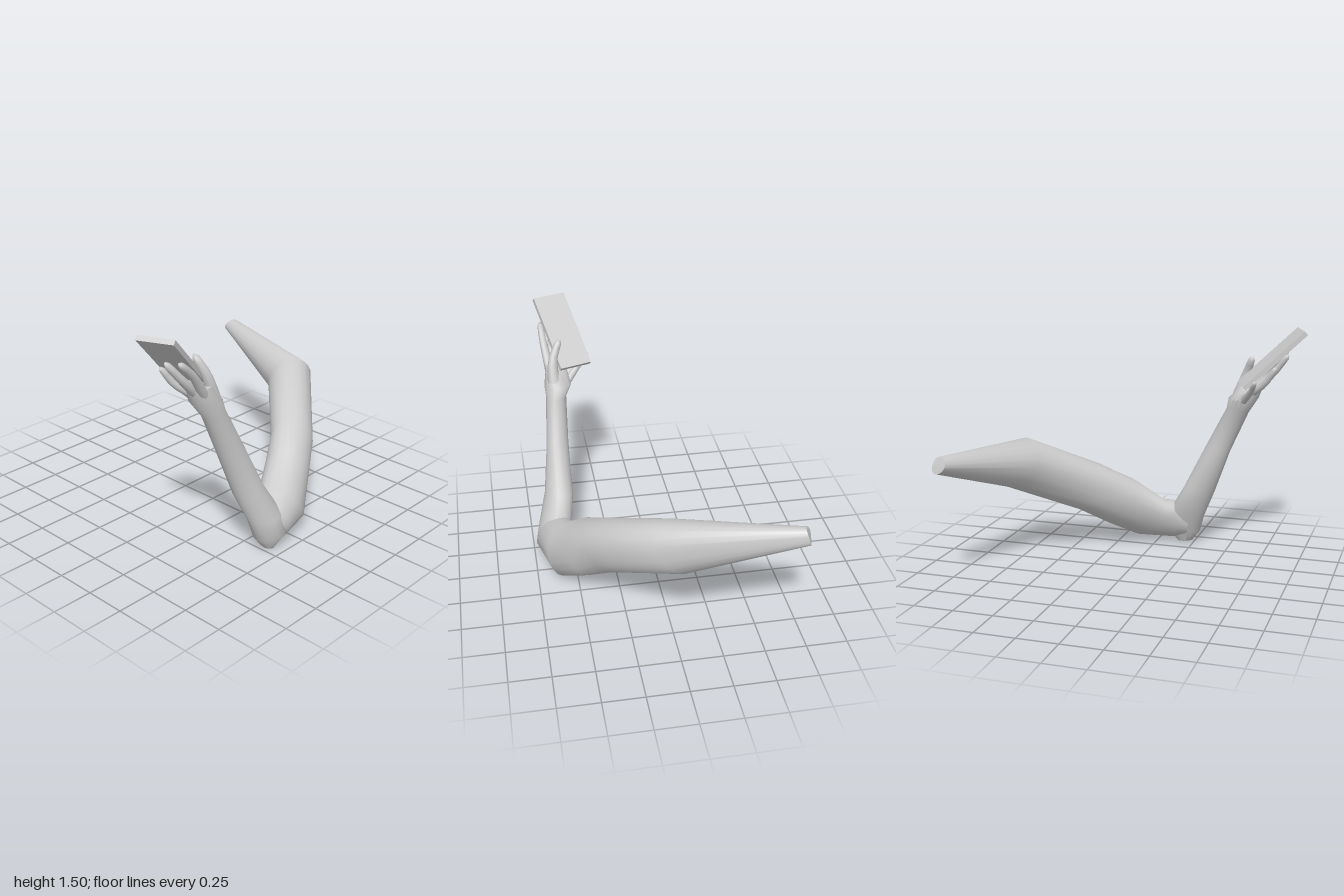
import * as THREE from 'three';
import { toCreasedNormals } from 'three/addons/utils/BufferGeometryUtils.js';

const material = new THREE.MeshStandardMaterial({ color: 0xcccccc });
const vec = (p) => new THREE.Vector3(...p);

// Skins a list of rings (counter-clockwise seen from the far end) and closes both ends.
function loft(name, rings, crease = 1) {
  const n = rings[0].length, pos = [], idx = [];
  rings.forEach((ring) => ring.forEach((p) => pos.push(p.x, p.y, p.z)));
  for (let i = 0; i < rings.length - 1; i++) {
    for (let j = 0; j < n; j++) {
      const a = i * n + j, b = i * n + (j + 1) % n;
      idx.push(a, b, a + n, b, b + n, a + n);
    }
  }
  [0, rings.length - 1].forEach((r) => {
    const c = rings[r].reduce((s, p) => s.add(p), new THREE.Vector3()).divideScalar(n);
    const k = pos.length / 3;
    pos.push(c.x, c.y, c.z);
    for (let j = 0; j < n; j++) {
      const a = r * n + j, b = r * n + (j + 1) % n;
      if (r === 0) idx.push(k, b, a);
      else idx.push(k, a, b);
    }
  });
  const g = new THREE.BufferGeometry();
  g.setAttribute('position', new THREE.Float32BufferAttribute(pos, 3));
  g.setIndex(idx);
  const mesh = new THREE.Mesh(toCreasedNormals(g, crease), material);
  mesh.name = name;
  return mesh;
}

// Rounded ring through four corner points, one quarter ellipse per corner pair.
function ring4(corners, perQuarter = 5) {
  const pts = corners.map(vec);
  const c = pts.reduce((s, p) => s.add(p), new THREE.Vector3()).divideScalar(4);
  const out = [];
  for (let q = 0; q < 4; q++) {
    const a = pts[q].clone().sub(c), b = pts[(q + 1) % 4].clone().sub(c);
    for (let k = 0; k < perQuarter; k++) {
      const t = (k / perQuarter) * Math.PI / 2;
      out.push(c.clone().addScaledVector(a, Math.cos(t)).addScaledVector(b, Math.sin(t)));
    }
  }
  return out;
}

// Tapered finger along a smooth path with a rounded tip.
function finger(name, path, r0, r1) {
  const curve = new THREE.CatmullRomCurve3(path.map(vec));
  const rings = [];
  for (const t of [0, 0.2, 0.4, 0.6, 0.8, 0.93, 1]) {
    const r = (r0 + (r1 - r0) * t) * (t === 1 ? 0.4 : 1);
    const c = curve.getPointAt(t), d = curve.getTangentAt(t);
    const u = new THREE.Vector3(0, 0, 1).addScaledVector(d, -d.z).normalize();
    const v = d.clone().cross(u);
    const ring = [];
    for (let j = 0; j < 10; j++) {
      const a = (j / 10) * Math.PI * 2;
      ring.push(c.clone().addScaledVector(u, r * Math.cos(a)).addScaledVector(v, r * Math.sin(a)));
    }
    rings.push(ring);
  }
  return loft(name, rings, 1.3);
}

export function createModel() {
  const model = new THREE.Group();
  model.name = 'armHoldingSlab';

  // Upper arm from elbow to shoulder: top, outer, bottom, inner
  model.add(loft('upperArm', [
    [[-0.22, 0.25, 0.61], [-0.2, 0.15, 0.7], [-0.2, 0.05, 0.63], [-0.23, 0.15, 0.54]],
    [[-0.16, 0.295, 0.6], [-0.12, 0.16, 0.73], [-0.11, 0.03, 0.62], [-0.15, 0.19, 0.5]],
    [[-0.04, 0.305, 0.58], [0.06, 0.17, 0.68], [0.13, 0.04, 0.57], [-0.08, 0.22, 0.46]],
    [[0.16, 0.465, 0.48], [0.26, 0.3, 0.57], [0.29, 0.15, 0.42], [0.08, 0.33, 0.37]],
    [[0.32, 0.57, 0.35], [0.41, 0.43, 0.48], [0.45, 0.27, 0.28], [0.25, 0.42, 0.27]],
    [[0.71, 0.79, 0.05], [0.82, 0.65, 0.12], [0.81, 0.49, -0.08], [0.6, 0.63, -0.06]],
    [[0.95, 0.82, -0.7], [0.995, 0.77, -0.71], [0.97, 0.72, -0.73], [0.9, 0.77, -0.74]],
  ].map((c) => ring4(c))));

  // Forearm, wrist and palm: right edge, back, left edge, front
  model.add(loft('forearmAndPalm', [
    [[-0.14, 0.01, 0.63], [-0.19, 0.01, 0.6], [-0.24, 0.015, 0.64], [-0.19, 0, 0.68]],
    [[-0.06, 0.1, 0.62], [-0.2, 0.1, 0.56], [-0.29, 0.08, 0.65], [-0.16, 0.1, 0.735]],
    [[-0.1, 0.24, 0.58], [-0.2, 0.24, 0.5], [-0.325, 0.2, 0.62], [-0.18, 0.22, 0.71]],
    [[-0.2, 0.41, 0.55], [-0.3, 0.4, 0.475], [-0.405, 0.39, 0.58], [-0.28, 0.4, 0.655]],
    [[-0.355, 0.72, 0.55], [-0.44, 0.69, 0.475], [-0.51, 0.68, 0.55], [-0.42, 0.68, 0.62]],
    [[-0.485, 0.97, 0.53], [-0.56, 0.97, 0.465], [-0.63, 0.95, 0.54], [-0.55, 0.97, 0.595]],
    [[-0.5, 1.04, 0.51], [-0.6, 1.04, 0.425], [-0.695, 1.05, 0.52], [-0.58, 1.03, 0.6]],
    [[-0.59, 1.14, 0.53], [-0.65, 1.12, 0.45], [-0.725, 1.13, 0.52], [-0.65, 1.14, 0.58]],
  ].map((c) => ring4(c))));

  // Fingers behind the slab, thumb across its front
  model.add(
    finger('indexFinger', [[-0.65, 1.1, 0.555], [-0.76, 1.25, 0.58], [-0.865, 1.35, 0.59]], 0.03, 0.018),
    finger('middleFinger', [[-0.66, 1.09, 0.52], [-0.79, 1.22, 0.53], [-0.88, 1.335, 0.5]], 0.03, 0.018),
    finger('ringFinger', [[-0.65, 1.08, 0.48], [-0.75, 1.16, 0.43], [-0.82, 1.265, 0.4]], 0.027, 0.016),
    finger('littleFinger', [[-0.61, 1.04, 0.45], [-0.67, 1.11, 0.375], [-0.71, 1.185, 0.3]], 0.026, 0.014),
    finger('thumb', [[-0.56, 1.06, 0.54], [-0.61, 1.2, 0.535], [-0.655, 1.315, 0.485]], 0.04, 0.02),
  );

  // Thin rectangular slab resting in the hand
  const along = vec([0.36, -0.35, -0.13]).normalize();
  const normal = vec([0.08, 0, 0.2]).cross(along).normalize();
  const across = along.clone().cross(normal);
  const slab = new THREE.Mesh(new THREE.BoxGeometry(0.51, 0.03, 0.215), material);
  slab.name = 'slab';
  slab.quaternion.setFromRotationMatrix(new THREE.Matrix4().makeBasis(along, normal, across));
  slab.position.set(-0.785, 1.315, 0.455);
  model.add(slab);

  return model;
}
